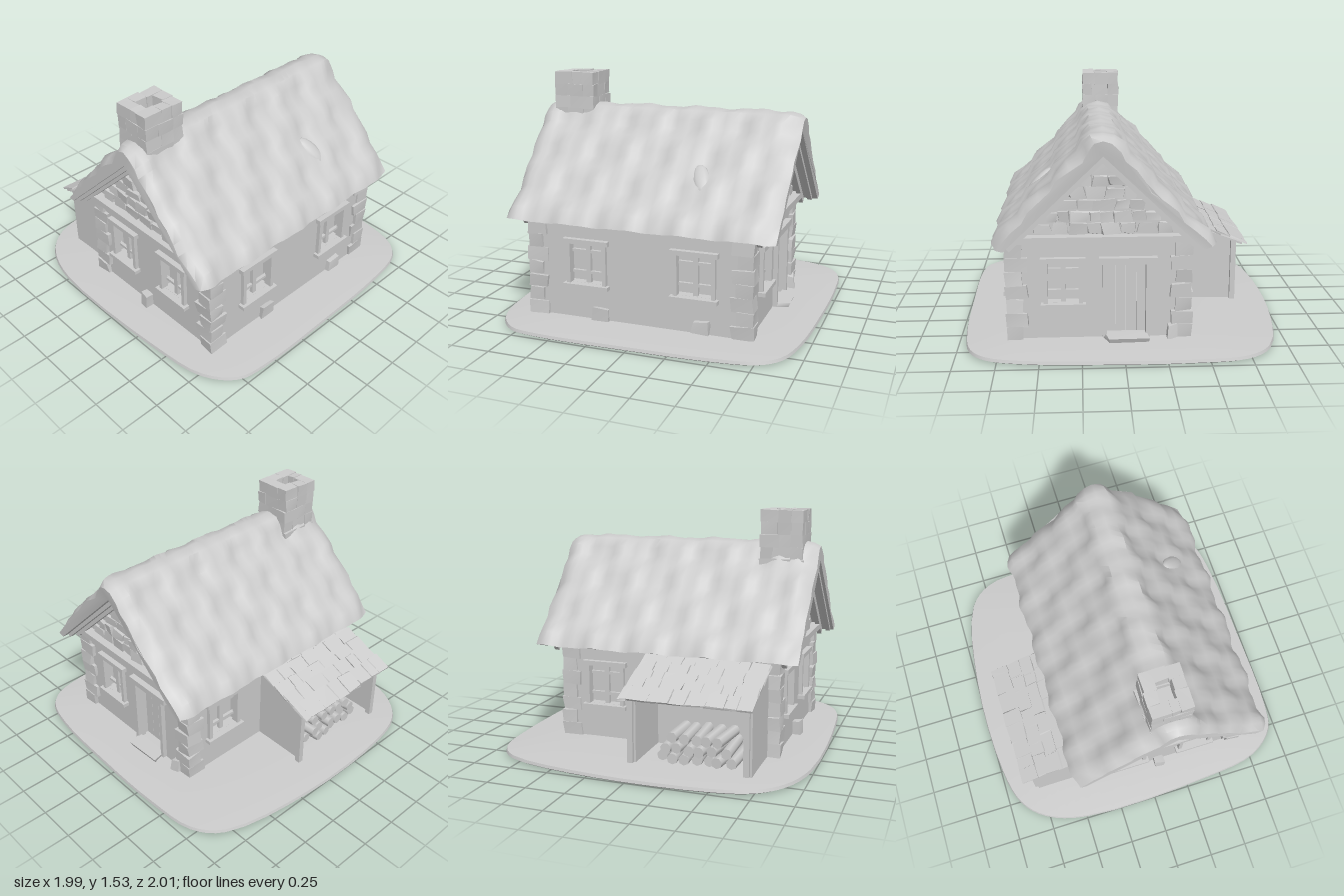
import * as THREE from 'three';
import { toCreasedNormals } from 'three/addons/utils/BufferGeometryUtils.js';

const clay = new THREE.MeshStandardMaterial({ color: 0xcccccc });
clay.name = 'pale grey';

let seed = 7;
const rand = (a = 0, b = 1) => {
  seed = (seed * 16807) % 2147483647;
  return a + (b - a) * (seed / 2147483647);
};

function add(parent, name, geo, x = 0, y = 0, z = 0) {
  const m = new THREE.Mesh(geo, clay);
  m.name = name;
  m.position.set(x, y, z);
  parent.add(m);
  return m;
}

function group(parent, name, x = 0, y = 0, z = 0, ry = 0) {
  const g = new THREE.Group();
  g.name = name;
  g.position.set(x, y, z);
  g.rotation.y = ry;
  parent.add(g);
  return g;
}

const box = (parent, name, w, h, d, x, y, z) => add(parent, name, new THREE.BoxGeometry(w, h, d), x, y, z);

// Rough block: a box whose eight corners are shifted
function stone(parent, w, h, d, x, y, z, rough = 0.12) {
  const geo = new THREE.BoxGeometry(w, h, d), p = geo.attributes.position;
  const shift = Array.from({ length: 8 }, () => [w, h, d].map(s => rand(-rough, rough) * s));
  for (let i = 0; i < p.count; i++) {
    const k = (p.getX(i) > 0) + 2 * (p.getY(i) > 0) + 4 * (p.getZ(i) > 0);
    p.setXYZ(i, p.getX(i) + shift[k][0], p.getY(i) + shift[k][1], p.getZ(i) + shift[k][2]);
  }
  geo.computeVertexNormals();
  return add(parent, 'stone', geo, x, y, z);
}

// Skin over closed rings, with optional end caps for rings lying across x
function loft(rings, caps, crease) {
  const n = rings[0].length, index = [];
  for (let i = 0; i < rings.length - 1; i++) {
    for (let j = 0; j < n; j++) {
      const a = i * n + j, b = i * n + (j + 1) % n;
      index.push(a, b, a + n, b, b + n, a + n);
    }
  }
  if (caps) {
    const last = (rings.length - 1) * n;
    const flat = rings[0].map(p => new THREE.Vector2(-p.z, p.y));
    for (const [a, b, c] of THREE.ShapeUtils.triangulateShape(flat, [])) {
      index.push(c, b, a, last + a, last + b, last + c);
    }
  }
  const geo = new THREE.BufferGeometry().setFromPoints(rings.flat());
  geo.setIndex(index);
  return toCreasedNormals(geo, crease);
}

const polygon = pts => new THREE.Shape(pts.map(p => new THREE.Vector2(...p)));
const rect = (x0, y0, x1, y1) => [[x0, y0], [x1, y0], [x1, y1], [x0, y1]];
const slab = (shape, depth) =>
  new THREE.ExtrudeGeometry(shape, { depth, bevelEnabled: false }).translate(0, 0, -depth);

// Recessed window with cross bars, timber lintel and sill
function windowAt(parent, u, w) {
  const g = group(parent, 'window', u, 0.405, 0);
  box(g, 'pane', w, 0.27, 0.01, 0, 0, -0.06);
  box(g, 'lintel', w + 0.06, 0.03, 0.05, 0, 0.14, 0.01);
  box(g, 'sill', w + 0.06, 0.025, 0.06, 0, -0.143, 0.015);
  for (const s of [-1, 1]) box(g, 'jamb', 0.025, 0.26, 0.05, s * w / 2, 0, 0);
  box(g, 'mullion', 0.03, 0.26, 0.025, 0, 0, -0.025);
  for (const y of [-0.065, 0.07]) box(g, 'glazingBar', w, 0.018, 0.02, 0, y, -0.025);
}

// Wall panel in its own frame, face on local z = 0
function wall(parent, name, half, x, z, ry, windows, w, doorU) {
  const g = group(parent, name, x, 0, z, ry);
  const shape = polygon(rect(-half, 0.03, half, 0.68));
  const holes = windows.map(u => rect(u - w / 2, 0.275, u + w / 2, 0.53));
  if (doorU !== undefined) holes.push(rect(doorU - 0.13, 0.06, doorU + 0.13, 0.525));
  for (const h of holes) shape.holes.push(polygon(h));
  add(g, 'wallPanel', slab(shape, 0.08));
  for (const u of windows) windowAt(g, u, w);
  return g;
}

// Triangular gable filled with rubble stones, tie beam and barge boards
function gable(parent, x, ry) {
  const g = group(parent, 'gable', x, 0, 0.12, ry);
  add(g, 'gableWall', slab(polygon([[-0.56, 0.66], [0.56, 0.66], [0, 1.2]]), 0.06));
  box(g, 'tieBeam', 1.18, 0.04, 0.09, 0, 0.68, 0.02);
  for (let y = 0.74; y < 1.13; y += 0.072) {
    const edge = (1.17 - y) * 0.98 - 0.01;
    for (let u = -edge; u < edge - 0.03;) {
      const w = Math.min(rand(0.06, 0.13), edge - u);
      stone(g, w * 0.93, rand(0.055, 0.068), rand(0.03, 0.06), u + w / 2, y, 0, 0.14);
      u += w;
    }
  }
  for (const s of [-1, 1]) {
    for (const [zz, drop] of [[0.05, 0.03], [0.11, 0.005]]) {
      const b = box(g, 'bargeBoard', 0.78, 0.045, 0.03, s * 0.285, 0.93 - drop, zz);
      b.rotation.z = -s * Math.atan2(0.55, 0.58);
    }
  }
}

export function createModel() {
  const root = new THREE.Group();
  root.name = 'cottage';

  // Ground: irregular rounded plot rising slightly to the house
  const outline = [[-0.5, -0.99], [0.2, -1], [0.8, -0.88], [0.94, -0.72], [0.98, -0.4], [0.98, 0.1], [0.95, 0.6],
    [0.89, 0.82], [0.78, 0.92], [0.5, 0.97], [0, 0.99], [-0.6, 0.99], [-0.78, 0.95], [-0.92, 0.78], [-0.98, 0.4],
    [-0.99, -0.5], [-0.9, -0.78], [-0.76, -0.92]].reverse();
  const curve = new THREE.CatmullRomCurve3(outline.map(p => new THREE.Vector3(p[0], 0, p[1])), true);
  const edge = curve.getPoints(72).slice(0, 72);
  const plot = [[0, 0], [0.98, 0], [1, 0.012], [0.995, 0.03], [0.8, 0.045], [0.5, 0.05], [0, 0.05]]
    .map(([s, y]) => edge.map(p => new THREE.Vector3(p.x * s, y, p.z * s)));
  add(root, 'ground', loft(plot, false, 0.6));

  // Walls with openings
  wall(root, 'frontWall', 0.705, -0.045, 0.69, 0, [-0.33, 0.37], 0.24);
  wall(root, 'backWall', 0.705, -0.045, -0.4, Math.PI, [-0.425], 0.24);
  wall(root, 'chimneyEndWall', 0.545, -0.75, 0.145, -Math.PI / 2, [-0.265, 0.205], 0.21);
  const doorWall = wall(root, 'doorWall', 0.545, 0.66, 0.145, Math.PI / 2, [-0.215], 0.21, 0.165);

  // Door
  const door = group(doorWall, 'door', 0.165, 0, 0);
  for (let i = 0; i < 4; i++) box(door, 'doorPlank', 0.062, 0.46, 0.015, -0.096 + i * 0.064, 0.29, -0.065);
  box(door, 'doorLintel', 0.35, 0.04, 0.06, 0.01, 0.54, 0.01);
  for (const s of [-1, 1]) box(door, 'doorJamb', 0.025, 0.47, 0.06, s * 0.13, 0.29, 0);
  stone(door, 0.24, 0.03, 0.1, 0, 0.06, 0.05);

  // Corner stones
  for (const [x, sx] of [[-0.72, -1], [0.63, 1]]) {
    for (const [z, sz] of [[0.65, 1], [-0.36, -1]]) {
      const g = group(root, 'cornerStones', x, 0, z);
      for (let i = 0; i < 7; i++) {
        const long = i % 2, w = long ? 0.1 : 0.13, d = long ? 0.13 : 0.1;
        stone(g, w, 0.084, d, sx * (0.055 - w / 2), 0.085 + i * 0.087, sz * (0.055 - d / 2), 0.07);
      }
    }
  }

  // Loose stones at the foot of the walls
  const foot = group(root, 'footStones');
  for (const [x, z] of [[-0.285, 0.69], [0.365, 0.69], [0.66, -0.3], [-0.75, 0.1]]) {
    stone(foot, 0.1, 0.08, 0.06, x, 0.09, z);
  }

  gable(root, 0.66, Math.PI / 2);
  gable(root, -0.75, -Math.PI / 2);

  // Thatched roof: tiered profile (distance from ridge, height), wavering along x
  const tiers = [[0, 1.325], [0.07, 1.31], [0.12, 1.26], [0.145, 1.205], [0.21, 1.155], [0.28, 1.09], [0.31, 1.03],
    [0.38, 0.975], [0.45, 0.91], [0.485, 0.845], [0.55, 0.795], [0.61, 0.74], [0.65, 0.66]];
  const steps = 44, rings = [];
  for (let i = 0; i <= steps; i++) {
    const t = i / steps, x = -0.895 + 1.735 * t;
    const tuck = i === 0 || i === steps ? 0.035 : i === 1 || i === steps - 1 ? 0.008 : 0;
    const point = (s, k) => {
      const [d, y] = tiers[k], ph = s * 1.3 + Math.floor((k + 1) / 3) * 2.1;
      const wave = 0.011 * Math.sin(x * 17 + ph) + 0.006 * Math.sin(x * 41 + ph * 3);
      const dip = k === 0 ? 0 : wave * (k % 3 === 2 || k % 3 === 0 ? 1 : 0.4);
      const endX = x - 0.02 * (k / 12) * Math.max(0, t * 2 - 1);
      return new THREE.Vector3(endX, y + dip * 0.6 - tuck * (k < 12 ? 1 : 0) + (k ? 0 : wave * 0.6),
        0.12 + s * (d + dip - tuck * 0.6 * (k ? 1 : 0)));
    };
    const ring = [];
    for (let k = 12; k >= 0; k--) ring.push(point(-1, k));
    for (let k = 1; k <= 12; k++) ring.push(point(1, k));
    const inX = ring[0].x;
    for (const [z, y] of [[0.58, 0.645], [0, 1.2], [-0.58, 0.645]]) ring.push(new THREE.Vector3(inX, y, 0.12 + z));
    rings.push(ring);
  }
  add(root, 'thatchedRoof', loft(rings, true, 0.75));

  // Loose tuft of thatch on the front slope
  const tuft = add(root, 'thatchTuft', new THREE.SphereGeometry(1, 12, 8), 0.3, 0.945, 0.505);
  tuft.scale.set(0.055, 0.11, 0.03);
  tuft.rotation.set(-0.8, 0, 0.35);

  // Chimney: courses of blocks laid around a square flue
  const chimney = group(root, 'chimney', -0.67, 0, 0.1);
  for (let c = 0; c < 6; c++) {
    const y = 1.1 + c * 0.077, grow = c === 1 ? 0.008 : 0;
    for (let s = 0; s < 4; s++) {
      const side = group(chimney, 'course', 0, y, 0, s * Math.PI / 2);
      const reach = (s % 2 ? 0.136 : 0.125) + grow, across = s % 2 ? 0.125 : 0.136;
      const len = 2 * across - 0.075, cut = len * rand(0.35, 0.65) * (c % 2 ? 1.1 : 0.9);
      for (const [from, w] of [[0, cut], [cut, len - cut]]) {
        stone(side, w * 1.01, 0.079, 0.077, -across + from + w / 2, 0, reach - 0.038 + rand(-0.004, 0.004), 0.045);
      }
    }
  }
  box(chimney, 'flueBase', 0.15, 0.3, 0.14, 0, 1.25, 0);

  // Woodshed behind the house
  const shed = group(root, 'woodshed');
  const pitch = Math.atan2(0.155, 0.43);
  const cover = group(shed, 'shedRoof', -0.31, 0.535, -0.62);
  cover.rotation.x = -pitch;
  box(cover, 'roofBoard', 0.8, 0.014, 0.45, 0, -0.012, 0);
  for (let r = 0; r < 5; r++) {
    for (let x = -0.41; x < 0.4;) {
      const w = Math.min(rand(0.07, 0.15), 0.41 - x);
      const s = stone(cover, w * 0.97, 0.012, rand(0.115, 0.13), x + w / 2, 0.008, 0.175 - r * 0.09, 0.06);
      s.name = 'shingle';
      s.rotation.x = -0.08;
      x += w;
    }
  }
  for (const x of [-0.67, 0.05]) {
    box(shed, 'post', 0.035, 0.4, 0.035, x, 0.245, -0.775);
    const side = polygon([[0.38, 0.04], [0.77, 0.04], [0.77, 0.46], [0.38, 0.6]]);
    const panel = add(shed, 'sidePanel', slab(side, 0.02), x - 0.01, 0, 0);
    panel.rotation.y = Math.PI / 2;
  }
  box(shed, 'frontBeam', 0.76, 0.035, 0.035, -0.31, 0.447, -0.775);

  // Firewood
  const wood = group(shed, 'firewood');
  for (let row = 0; row < 3; row++) {
    for (let i = 0; i < 7 - row; i++) {
      const log = add(wood, 'log', new THREE.CylinderGeometry(0.034, 0.034, rand(0.25, 0.31), 7),
        -0.56 + (i + row / 2) * 0.075, 0.08 + row * 0.06, -0.57 + rand(-0.02, 0.02));
      log.rotation.set(Math.PI / 2, 0, rand(-0.1, 0.1));
    }
  }
  return root;
}
